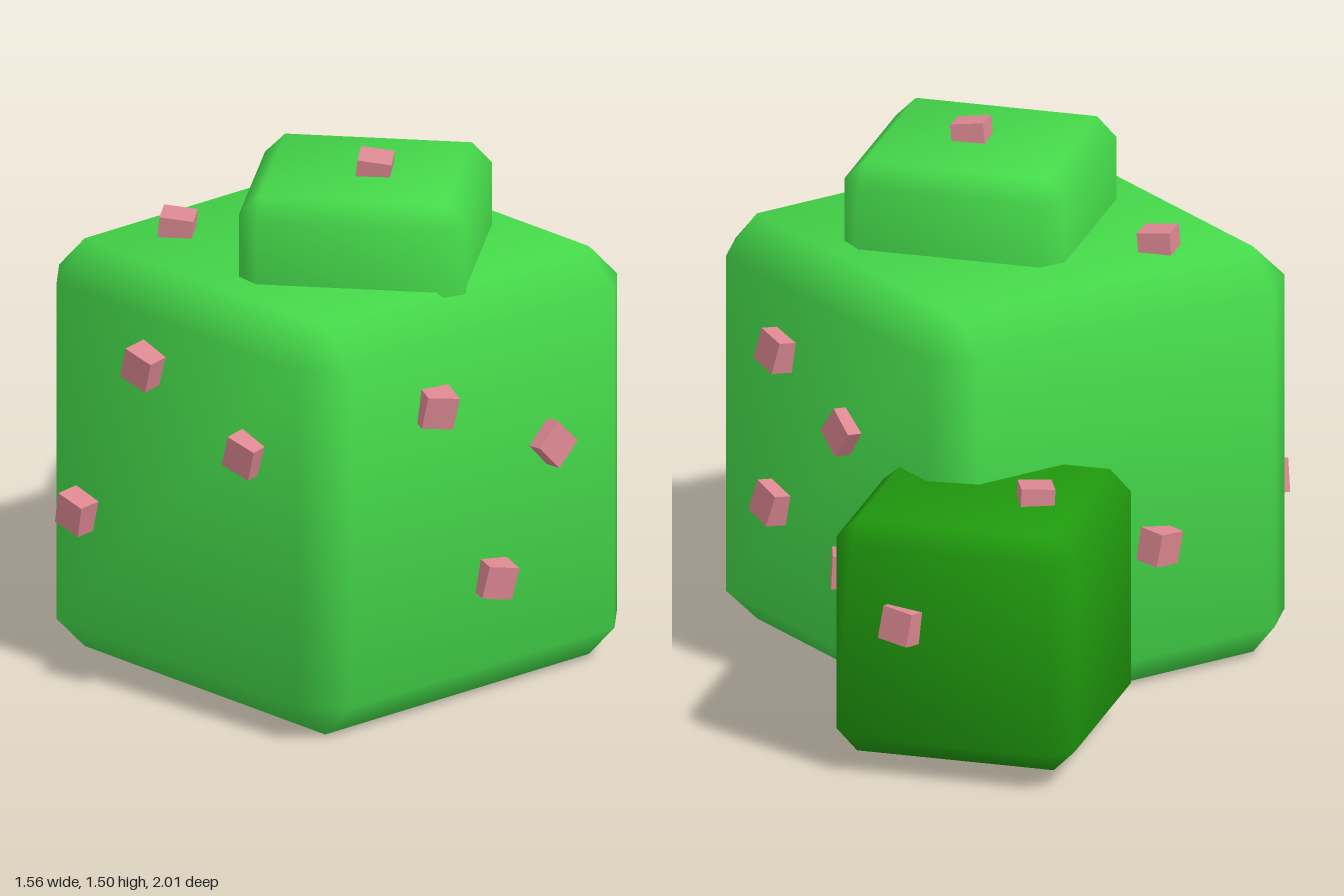
import * as THREE from 'three';
import { ConvexGeometry } from 'three/addons/geometries/ConvexGeometry.js';

const material = (color) => new THREE.MeshStandardMaterial({ color });

// Cube with one flat bevel on every edge, shaded smoothly across the bevels
function bevelledCube(size, bevel) {
  const outer = size / 2, inner = outer - bevel, points = [];
  for (const x of [-1, 1]) for (const y of [-1, 1]) for (const z of [-1, 1]) {
    points.push(new THREE.Vector3(x * outer, y * inner, z * inner));
    points.push(new THREE.Vector3(x * inner, y * outer, z * inner));
    points.push(new THREE.Vector3(x * inner, y * inner, z * outer));
  }
  const geometry = new ConvexGeometry(points);
  const position = geometry.attributes.position, normal = geometry.attributes.normal;
  const n = new THREE.Vector3();
  const lean = (v) => Math.sign(v) * (Math.abs(v) > (outer + inner) / 2 ? 1 : 0.3);
  for (let i = 0; i < position.count; i++) {
    n.set(lean(position.getX(i)), lean(position.getY(i)), lean(position.getZ(i))).normalize();
    normal.setXYZ(i, n.x, n.y, n.z);
  }
  return geometry;
}

export function createModel() {
  const model = new THREE.Group();
  model.name = 'cactus';
  const green = material(0x45d94a), darkGreen = material(0x209a0e), pink = material(0xdb8791);
  const turn = -0.693;

  function add(name, geometry, mat, position, rotation = [0, 0, 0]) {
    const mesh = new THREE.Mesh(geometry, mat);
    mesh.name = name;
    mesh.position.set(...position);
    mesh.rotation.set(...rotation, 'YXZ');
    model.add(mesh);
  }

  // Three overlapping blocks
  add('body', bevelledCube(1.2, 0.105), green, [0, 0.6, 0.22], [0, turn, 0]);
  add('topBlock', bevelledCube(0.635, 0.056), green, [0.088, 1.122, 0.278]);
  add('backBlock', bevelledCube(0.687, 0.06), darkGreen, [-0.177, 0.393, -0.61]);

  // Small pink studs: x, y, z, then tilt about x, y, z
  const studs = [
    // upward faces
    [0.115, 1.44, 0.29, 0.1, 0.03, -0.12],
    [-0.45, 1.21, 0.2, 0.05, 0.0, -0.1],
    [-0.33, 0.735, -0.62, 0.05, 0.4, 0.05],
    // front left face of the body
    [-0.475, 0.96, 0.63, 0.1, turn + 0.1, -0.3],
    [-0.155, 0.805, 0.88, 0.1, turn + 0.15, -0.3],
    [-0.685, 0.46, 0.45, 0.1, turn, -0.25],
    // front right face of the body
    [0.35, 0.925, 0.76, 0.15, 0.5, -0.15],
    [0.62, 0.715, 0.42, 0.75, turn, 0.1],
    [0.49, 0.37, 0.59, 0.1, 0.6, -0.2],
    // back right face of the body
    [0.55, 0.91, -0.12, 0.15, turn, 0.2],
    [0.3, 0.765, -0.31, 0.1, turn, 0.6],
    [0.57, 0.45, -0.1, 0.15, turn, 0.25],
    // back left face of the body
    [-0.53, 0.44, -0.1, 0.15, turn + 0.3, 0.1],
    // sides of the back block
    [0.175, 0.525, -0.74, 0.05, 0.3, 0.05],
    [-0.045, 0.46, -0.95, 0.15, -0.3, 0.1],
  ];
  const studShape = new THREE.BoxGeometry(0.095, 0.095, 0.095);
  for (const [x, y, z, ...tilt] of studs) add('stud', studShape, pink, [x, y, z], tilt);

  return model;
}
